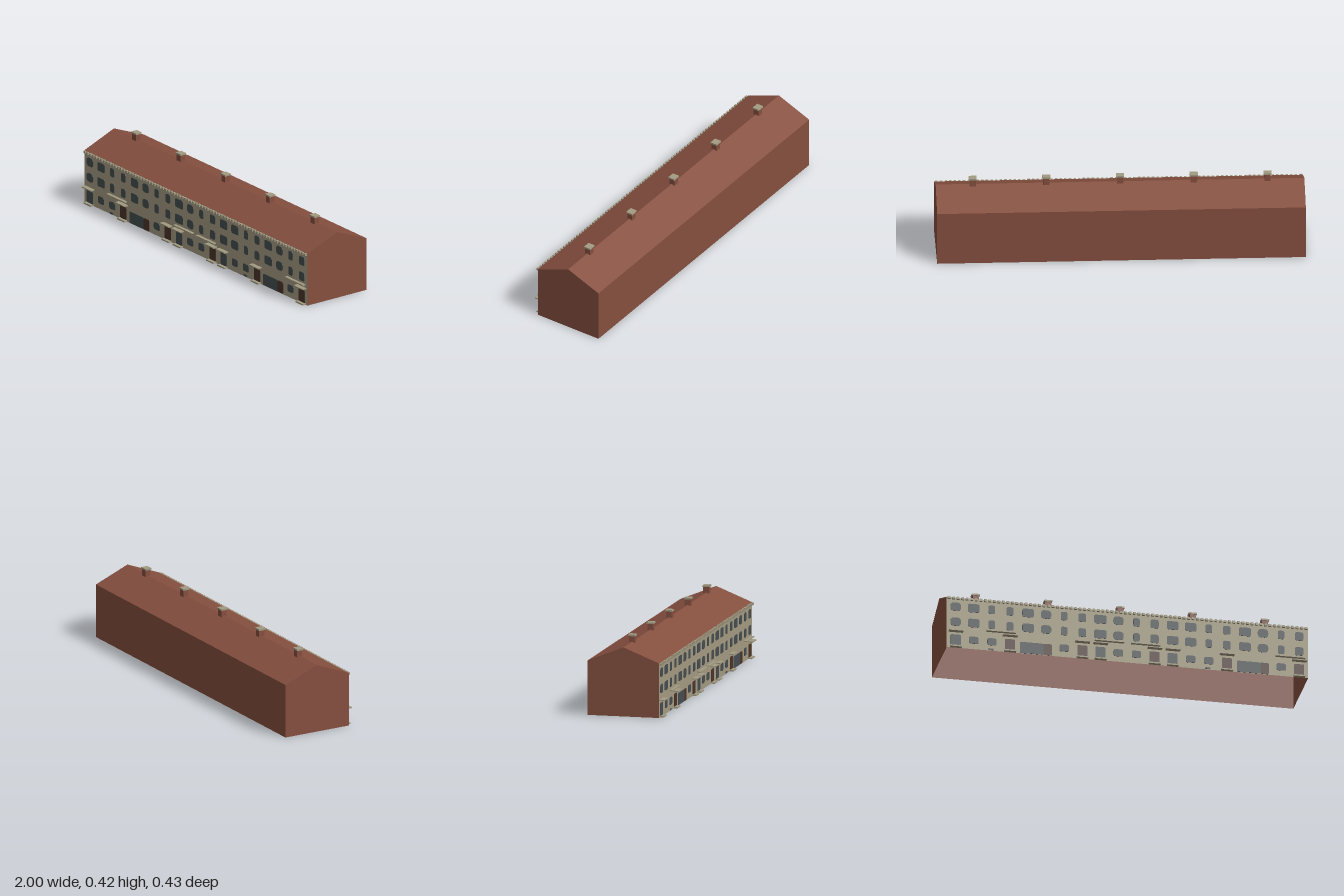
import * as THREE from 'three';

const mat = (name, color, side = THREE.FrontSide) => {
  const m = new THREE.MeshStandardMaterial({ color, side });
  m.name = name;
  return m;
};

export function createModel() {
  const house = new THREE.Group();
  house.name = 'terraceRow';
  const brick = mat('brick', 0x854f3f, THREE.DoubleSide);
  const stone = mat('stone', 0xa69d82, THREE.DoubleSide);
  const trim = mat('trim', 0xa39b82);
  const slate = mat('glass', 0x464e51);
  const wood = mat('doorWood', 0x4c3429);

  const FRONT = 0.195, BACK = -0.205, RIDGE = -0.005, EAVE = 0.3, TOP = 0.38;

  const add = (name, geometry, material, x = 0, y = 0, z = 0) => {
    const mesh = new THREE.Mesh(geometry, material);
    mesh.name = name;
    mesh.position.set(x, y, z);
    house.add(mesh);
    return mesh;
  };
  const box = (name, material, x, y0, y1, z0, z1, w) =>
    add(name, new THREE.BoxGeometry(w, y1 - y0, z1 - z0), material, x, (y0 + y1) / 2, (z0 + z1) / 2);

  // Thin sheet running the full length between two points of the section
  const sheet = (name, [z0, y0], [z1, y1], material) => {
    const g = new THREE.PlaneGeometry(2, Math.hypot(z1 - z0, y1 - y0));
    g.rotateX(Math.atan2(z1 - z0, y1 - y0));
    add(name, g, material, 0, (y0 + y1) / 2, (z0 + z1) / 2);
  };
  sheet('frontWall', [FRONT, 0], [FRONT, EAVE], stone);
  sheet('frontRoof', [FRONT, EAVE], [RIDGE, TOP], brick);
  sheet('backRoof', [RIDGE, TOP], [BACK, EAVE], brick);
  sheet('backWall', [BACK, EAVE], [BACK, 0], brick);

  // Gable ends; the underside stays open
  const gable = new THREE.Shape([[-FRONT, 0], [-BACK, 0], [-BACK, EAVE], [-RIDGE, TOP], [-FRONT, EAVE]]
    .map(([x, y]) => new THREE.Vector2(x, y)));
  for (const [name, x] of [['rightGable', -1], ['leftGable', 1]]) {
    add(name, new THREE.ShapeGeometry(gable).rotateY(Math.PI / 2), brick, x);
  }

  // Row of small blocks under the eaves
  const dentils = 80;
  for (let i = 0; i < dentils; i++) {
    box('eavesBlock', trim, -1 + (i + 0.5) * 2 / dentils, 0.287, 0.3, FRONT, 0.207, 0.014);
  }

  // Chimneys with caps along the ridge
  for (let i = -2; i <= 2; i++) {
    box('chimney', brick, i * 0.4, 0.36, 0.411, -0.022, 0.01, 0.034);
    box('chimneyCap', trim, i * 0.4, 0.411, 0.42, -0.025, 0.014, 0.044);
  }

  // Rounded plate set through the wall, visible on both faces
  const plate = (name, x, y, w, h, r, material) => {
    const a = w / 2, b = h / 2, s = new THREE.Shape();
    s.moveTo(-a + r, -b);
    s.lineTo(a - r, -b).quadraticCurveTo(a, -b, a, -b + r);
    s.lineTo(a, b - r).quadraticCurveTo(a, b, a - r, b);
    s.lineTo(-a + r, b).quadraticCurveTo(-a, b, -a, b - r);
    s.lineTo(-a, -b + r).quadraticCurveTo(-a, -b, -a + r, -b);
    const g = new THREE.ExtrudeGeometry(s, { depth: 0.005, bevelEnabled: false, curveSegments: 4 });
    add(name, g, material, x, y, FRONT - 0.0025);
  };

  // Two upper floors: one window per bay, widths by bay
  const widths = [0.058, 0.064, 0.036, 0.038, 0.064, 0.058, 0.036, 0.042, 0.07, 0.058,
    0.036, 0.046, 0.064, 0.062, 0.036, 0.042, 0.066, 0.058, 0.036, 0.046];
  widths.forEach((w, i) => {
    const round = w === 0.058 ? 0.022 : 0.012;
    for (const y of [0.155, 0.244]) plate('upperWindow', -0.95 + i * 0.1, y, w, 0.05, round, slate);
  });

  // Ground floor windows
  for (const x of [-0.85, -0.75, -0.35, -0.05, 0.05, 0.35, 0.45, 0.85]) {
    plate('groundWindow', x, 0.053, 0.052, 0.042, 0.012, slate);
  }
  for (const x of [-0.755, 0.445]) plate('cellarWindow', x, 0.008, 0.03, 0.01, 0.004, slate);

  // Doors, each with a step and a canopy
  const doors = [[-0.95, slate], [-0.65, wood], [-0.25, wood], [-0.15, slate],
    [0.15, wood], [0.25, slate], [0.55, wood], [0.95, wood]];
  for (const [x, material] of doors) {
    plate('door', x, 0.043, 0.055, 0.07, 0.006, material);
    box('doorStep', trim, x, 0, 0.008, FRONT, 0.216, 0.064);
    box('doorCanopy', trim, x, 0.092, 0.098, FRONT, 0.222, 0.08);
  }

  // Longer ledges above door and window pairs
  for (const x of [-0.7, -0.1, 0.1, 0.9]) box('ledge', trim, x, 0.111, 0.117, FRONT, 0.213, 0.162);

  // Wide shop openings with a side door
  for (const x of [-0.53, 0.67]) {
    plate('shopWindow', x, 0.035, 0.13, 0.066, 0.008, slate);
    plate('shopDoor', x + 0.088, 0.035, 0.05, 0.066, 0.01, wood);
  }
  return house;
}
